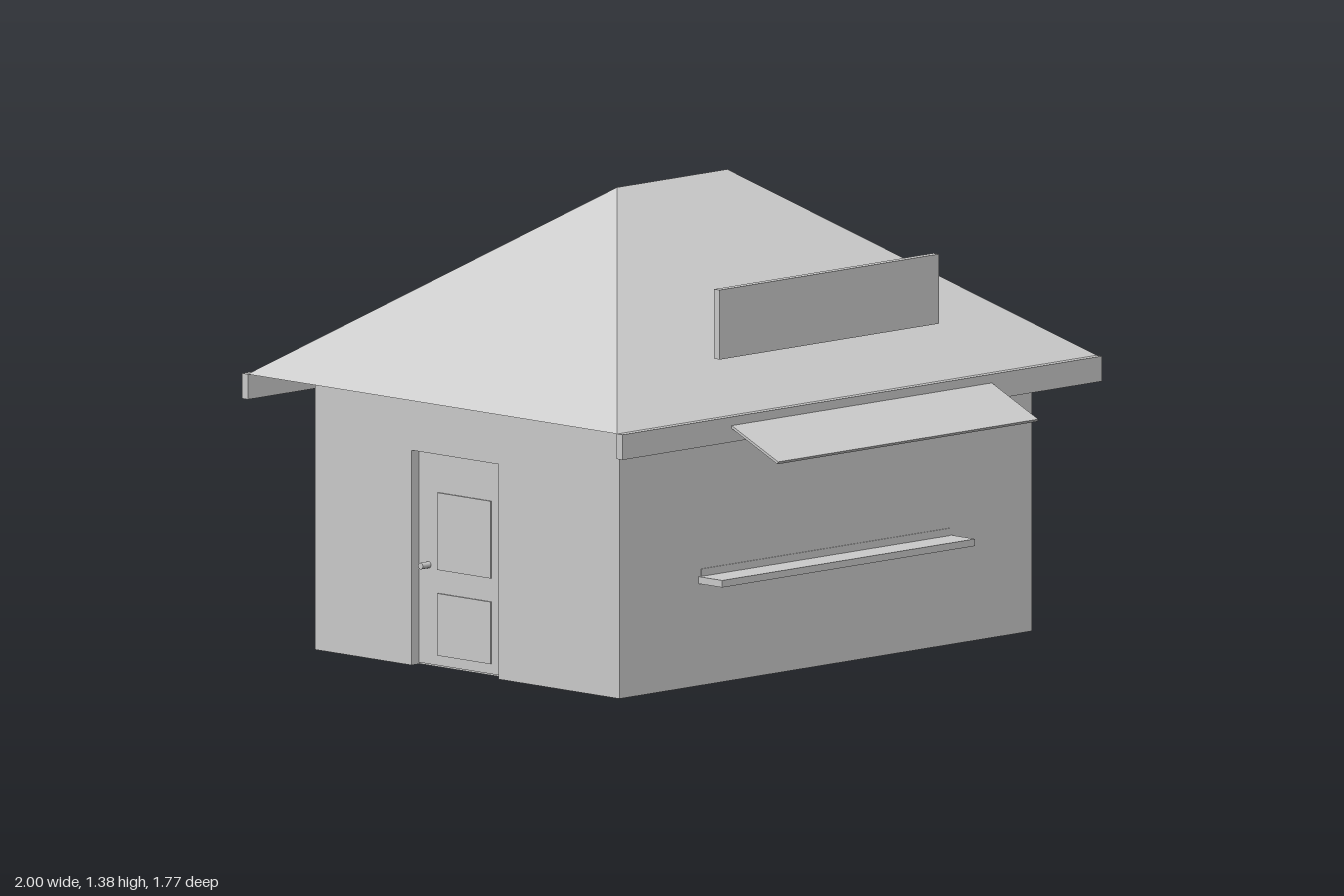
import * as THREE from 'three';
import { ConvexGeometry } from 'three/addons/geometries/ConvexGeometry.js';

export function createModel() {
  const group = new THREE.Group();
  const grey = new THREE.MeshStandardMaterial({ color: 0xcccccc });
  grey.name = 'plain grey';

  const add = (name, geometry) => {
    const mesh = new THREE.Mesh(geometry, grey);
    mesh.name = name;
    group.add(mesh);
    return mesh;
  };
  // Box given by its lower and upper limits on each axis
  const box = (name, [x0, x1], [y0, y1], [z0, z1]) => {
    const g = new THREE.BoxGeometry(x1 - x0, y1 - y0, z1 - z0);
    g.translate((x0 + x1) / 2, (y0 + y1) / 2, (z0 + z1) / 2);
    return add(name, g);
  };

  // Walls: solid core, plus an outer skin with the doorway cut out
  const inset = 0.035, wallX = -0.86, doorX = wallX + inset;
  box('walls', [doorX, 0.86], [0, 0.82], [-0.72, 0.54]);
  const skin = new THREE.Shape([
    [-0.72, 0], [-0.32, 0], [-0.32, 0.64], [0.04, 0.64],
    [0.04, 0], [0.54, 0], [0.54, 0.82], [-0.72, 0.82],
  ].map(([z, y]) => new THREE.Vector2(z, y)));
  const skinGeometry = new THREE.ExtrudeGeometry(skin, { depth: inset, bevelEnabled: false });
  skinGeometry.rotateY(-Math.PI / 2).translate(doorX, 0, 0);
  add('doorWall', skinGeometry);

  // Door with two raised panels and a knob
  box('door', [doorX - 0.004, doorX], [0.005, 0.64], [-0.32, 0.04]);
  for (const [y0, y1] of [[0.035, 0.22], [0.29, 0.52]]) {
    box('doorPanel', [doorX - 0.009, doorX - 0.004], [y0, y1], [-0.24, -0.02]);
  }
  const knob = add('doorKnob', new THREE.CylinderGeometry(0.01, 0.01, 0.036, 12));
  knob.rotation.z = Math.PI / 2;
  knob.position.set(-0.845, 0.3, -0.28);

  // Hipped roof with a short ridge
  const roofPoints = [];
  for (const s of [-1, 1]) {
    roofPoints.push(
      new THREE.Vector3(s, 0.82, 0.67),
      new THREE.Vector3(s, 0.82, -0.86),
      new THREE.Vector3(s * 0.23, 1.375, -0.095),
    );
  }
  add('roof', new ConvexGeometry(roofPoints));

  // Fascia boards under the front and back eaves
  box('frontFascia', [-1, 1], [0.745, 0.82], [0.667, 0.692]);
  box('backFascia', [-1, 1], [0.745, 0.82], [-0.883, -0.858]);

  // Blank sign board standing over the front roof slope
  box('signBoard', [-0.46, 0.455], [0.965, 1.172], [0.535, 0.558]);

  // Sloping awning over the counter
  const awning = add('awning', new THREE.BoxGeometry(1.085, 0.008, 0.257));
  awning.position.set(-0.002, 0.757, 0.765);
  awning.rotation.x = 0.42;

  // Serving counter with a slim strip along the wall
  box('counter', [-0.53, 0.525], [0.304, 0.325], [0.53, 0.638]);
  box('counterStrip', [-0.52, 0.515], [0.325, 0.347], [0.537, 0.543]);

  return group;
}
